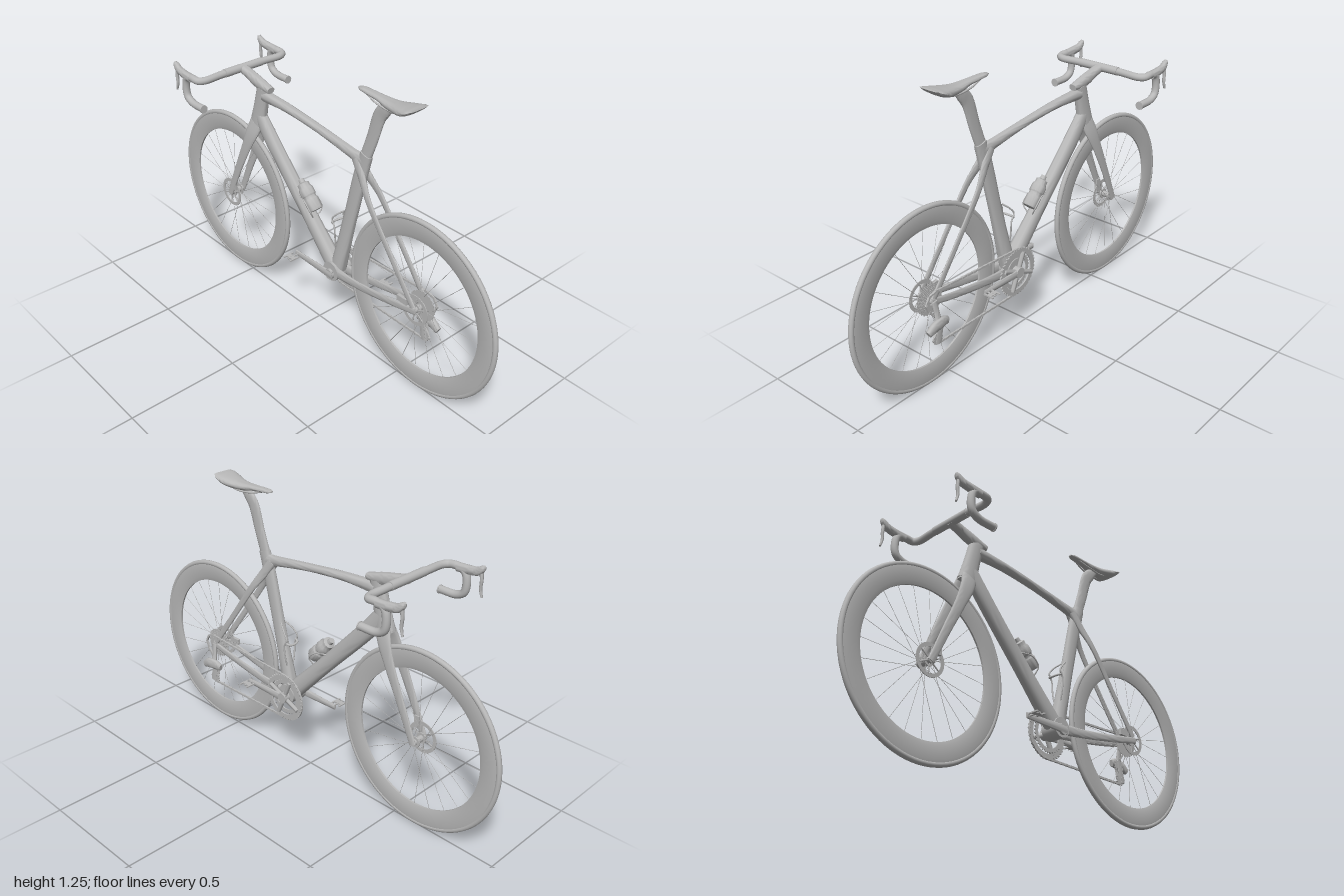
import * as THREE from 'three';
import { mergeGeometries, toCreasedNormals } from 'three/addons/utils/BufferGeometryUtils.js';

const grey = new THREE.MeshStandardMaterial({ color: 0xb8b8b8 });
grey.name = 'grey';
const V = (x, y, z) => new THREE.Vector3(x, y, z);
const AXLE_Y = 0.408, AXLE_Z = 0.604;
const BB = { y: 0.325, z: 0.115 };

function add(parent, name, geo) {
  const m = new THREE.Mesh(geo, grey);
  m.name = name;
  parent.add(m);
  return m;
}

// Oval sections along a path: stations are [x, y, z, halfWidth, halfDepth]
function loft(stations, sub = 5, n = 18, power = 0.8) {
  const path = new THREE.CatmullRomCurve3(stations.map(s => V(s[0], s[1], s[2])), false, 'centripetal');
  const size = new THREE.CatmullRomCurve3(stations.map(s => V(s[3], s[4], 0)), false, 'catmullrom', 0.4);
  const steps = (stations.length - 1) * sub, pos = [], idx = [];
  const soft = v => Math.sign(v) * Math.abs(v) ** power;
  for (let i = 0; i <= steps; i++) {
    const t = i / steps, c = path.getPoint(t), s = size.getPoint(t);
    const N = path.getTangent(t).cross(V(1, 0, 0)).normalize();
    for (let j = 0; j < n; j++) {
      const a = j / n * Math.PI * 2;
      const p = c.clone().addScaledVector(N, s.y * soft(Math.sin(a)));
      pos.push(p.x + s.x * soft(Math.cos(a)), p.y, p.z);
      if (i < steps) {
        const k = (j + 1) % n, A = i * n + j, B = i * n + k;
        idx.push(A, B, B + n, A, B + n, A + n);
      }
    }
  }
  for (let j = 1; j < n - 1; j++) {
    const e = steps * n;
    idx.push(0, j + 1, j, e, e + j, e + j + 1);
  }
  const g = new THREE.BufferGeometry();
  g.setAttribute('position', new THREE.Float32BufferAttribute(pos, 3));
  g.setIndex(idx);
  return toCreasedNormals(g, 0.8);
}

// Straight round bar between two points
function rod(a, b, r, sides = 8) {
  const d = b.clone().sub(a);
  const g = new THREE.CylinderGeometry(r, r, d.length(), sides);
  g.applyQuaternion(new THREE.Quaternion().setFromUnitVectors(V(0, 1, 0), d.normalize()));
  return g.translate((a.x + b.x) / 2, (a.y + b.y) / 2, (a.z + b.z) / 2);
}
const disc = (r, w, x, y, z, n = 32) => rod(V(x - w / 2, y, z), V(x + w / 2, y, z), r, n);
const tube = (pts, r, seg = 40, n = 12) =>
  new THREE.TubeGeometry(new THREE.CatmullRomCurve3(pts), seg, r, n, false);

// Flat ring with teeth or a plain edge, facing x
function ring(outer, inner, thick, teeth, depth, x, y, z) {
  const s = new THREE.Shape(), n = teeth ? teeth * 4 : 48;
  for (let i = 0; i < n; i++) {
    const r = outer - (teeth && i % 4 > 1 ? depth : 0), a = i / n * Math.PI * 2;
    s[i ? 'lineTo' : 'moveTo'](r * Math.cos(a), r * Math.sin(a));
  }
  s.closePath();
  s.holes.push(new THREE.Path().absarc(0, 0, inner, 0, Math.PI * 2, true));
  return new THREE.ExtrudeGeometry(s, { depth: thick, bevelEnabled: false, curveSegments: 32 })
    .translate(0, 0, -thick / 2).rotateY(Math.PI / 2).translate(x, y, z);
}
function arms(count, r0, r1, w, x, y, z) {
  const list = [];
  for (let i = 0; i < count; i++) {
    const a = i / count * Math.PI * 2 + 0.4, c = Math.cos(a), s = Math.sin(a);
    list.push(rod(V(x, y + r0 * s, z + r0 * c), V(x, y + r1 * s, z + r1 * c), w, 6));
  }
  return mergeGeometries(list);
}

function wheel(name, z) {
  const g = new THREE.Group();
  g.name = name;
  const rim = [[0.308, -0.004], [0.325, -0.009], [0.375, -0.011], [0.392, -0.008],
    [0.392, 0.008], [0.375, 0.011], [0.325, 0.009], [0.308, 0.004], [0.308, -0.004]];
  add(g, 'rim', toCreasedNormals(new THREE.LatheGeometry(rim.map(p => new THREE.Vector2(...p)), 80).rotateZ(Math.PI / 2), 0.6));
  add(g, 'tyre', new THREE.TorusGeometry(0.392, 0.0115, 12, 80).rotateY(Math.PI / 2));
  add(g, 'hub', mergeGeometries([disc(0.014, 0.074, 0, 0, 0, 20), disc(0.024, 0.005, 0.02, 0, 0, 20), disc(0.024, 0.005, -0.02, 0, 0, 20)]));
  const spokes = [];
  for (let i = 0; i < 24; i++) {
    const a = i / 24 * Math.PI * 2, b = a + (i % 4 < 2 ? 0.7 : -0.7);
    spokes.push(rod(V(i % 2 ? 0.019 : -0.019, 0.022 * Math.sin(b), 0.022 * Math.cos(b)),
      V(0, 0.312 * Math.sin(a), 0.312 * Math.cos(a)), 0.001, 4));
  }
  add(g, 'spokes', mergeGeometries(spokes));
  add(g, 'brakeRotor', ring(0.07, 0.054, 0.003, 0, 0, -0.028, 0, 0));
  add(g, 'rotorArms', arms(6, 0.015, 0.058, 0.003, -0.028, 0, 0));
  g.position.set(0, AXLE_Y, z);
  g.scale.z = 0.98; // wheels are very slightly taller than long
  return g;
}

function frame() {
  const g = new THREE.Group();
  g.name = 'frame';
  add(g, 'topTube', loft([[0, 0.925, 0.27, 0.016, 0.03], [0, 0.937, 0.2, 0.017, 0.022], [0, 0.967, 0, 0.018, 0.016],
    [0, 0.987, -0.2, 0.02, 0.018], [0, 0.99, -0.36, 0.021, 0.026]]));
  add(g, 'headTube', loft([[0, 1.025, -0.364, 0.02, 0.036], [0, 0.93, -0.388, 0.021, 0.038], [0, 0.83, -0.412, 0.024, 0.046]]));
  add(g, 'downTube', loft([[0, 0.885, -0.395, 0.022, 0.035], [0, 0.8, -0.325, 0.026, 0.037], [0, 0.55, -0.09, 0.028, 0.035],
    [0, 0.34, 0.11, 0.034, 0.04]]));
  add(g, 'seatTube', loft([[0, 0.965, 0.278, 0.016, 0.03], [0, 0.87, 0.25, 0.016, 0.034], [0, 0.6, 0.185, 0.019, 0.032],
    [0, 0.33, 0.12, 0.03, 0.036]]));
  add(g, 'bottomBracket', disc(0.045, 0.078, 0, BB.y + 0.01, BB.z));
  for (const s of [-1, 1]) {
    add(g, 'seatStay', loft([[s * 0.008, 0.93, 0.225, 0.01, 0.022], [s * 0.018, 0.86, 0.275, 0.009, 0.02],
      [s * 0.034, 0.785, 0.33, 0.006, 0.016], [s * 0.036, 0.6, 0.465, 0.005, 0.014], [s * 0.036, 0.42, 0.6, 0.005, 0.015]]));
    add(g, 'chainStay', loft([[s * 0.024, 0.335, 0.12, 0.012, 0.026], [s * 0.03, 0.345, 0.25, 0.007, 0.02],
      [s * 0.035, 0.375, 0.45, 0.005, 0.017], [s * 0.036, 0.408, 0.615, 0.005, 0.015]]));
    add(g, 'forkBlade', loft([[s * 0.01, 0.845, -0.408, 0.014, 0.04], [s * 0.026, 0.79, -0.43, 0.009, 0.035],
      [s * 0.034, 0.7, -0.47, 0.007, 0.026], [s * 0.036, 0.55, -0.54, 0.006, 0.02], [s * 0.036, 0.4, -0.606, 0.005, 0.016]]));
  }
  add(g, 'forkCrown', loft([[0, 0.85, -0.407, 0.023, 0.043], [0, 0.818, -0.42, 0.027, 0.038]]));
  add(g, 'rearCaliper', new THREE.BoxGeometry(0.014, 0.026, 0.055).translate(-0.032, 0.425, 0.54));
  add(g, 'frontCaliper', new THREE.BoxGeometry(0.014, 0.055, 0.024).translate(-0.032, 0.465, -0.57));
  return g;
}

function saddle() {
  const g = new THREE.Group();
  g.name = 'saddleAndPost';
  add(g, 'seatPost', loft([[0, 0.93, 0.265, 0.012, 0.027], [0, 1.05, 0.308, 0.009, 0.029], [0, 1.155, 0.342, 0.009, 0.031],
    [0, 1.19, 0.37, 0.011, 0.028], [0, 1.218, 0.4, 0.011, 0.018]]));
  add(g, 'saddleShell', loft([[0, 1.236, 0.228, 0.008, 0.003], [0, 1.235, 0.25, 0.017, 0.008], [0, 1.231, 0.33, 0.021, 0.011],
    [0, 1.224, 0.41, 0.034, 0.017], [0, 1.232, 0.48, 0.053, 0.018], [0, 1.246, 0.52, 0.056, 0.011], [0, 1.256, 0.54, 0.046, 0.003]]));
  for (const s of [-1, 1])
    add(g, 'saddleRail', tube([V(s * 0.008, 1.23, 0.27), V(s * 0.018, 1.212, 0.34), V(s * 0.02, 1.207, 0.43), V(s * 0.028, 1.23, 0.5)], 0.004));
  return g;
}

function cockpit() {
  const g = new THREE.Group();
  g.name = 'cockpit';
  add(g, 'stem', loft([[0, 1.028, -0.315, 0.018, 0.014], [0, 1.04, -0.4, 0.021, 0.026], [0, 1.058, -0.46, 0.021, 0.021], [0, 1.073, -0.515, 0.024, 0.018]]));
  add(g, 'barCentre', disc(0.0185, 0.2, 0, 1.073, -0.508, 20));
  for (const s of [-1, 1]) {
    const x = s * 0.233, end = V(x, 0.952, -0.49);
    add(g, 'handlebar', tube([V(0, 1.073, -0.508), V(s * 0.12, 1.072, -0.508), V(s * 0.205, 1.07, -0.508), V(s * 0.229, 1.071, -0.522),
      V(x, 1.073, -0.565), V(x, 1.06, -0.6), V(x, 1.02, -0.611), V(x, 0.975, -0.603), V(x, 0.955, -0.57), end], 0.0165, 80, 14));
    add(g, 'barPlug', rod(end, end.clone().add(V(0, 0, 0.005)), 0.0185, 16));
    add(g, 'brakeHood', loft([[x, 1.07, -0.565, 0.017, 0.018], [x, 1.073, -0.62, 0.016, 0.018], [s * 0.231, 1.08, -0.66, 0.015, 0.017],
      [s * 0.23, 1.098, -0.682, 0.012, 0.012], [s * 0.23, 1.108, -0.688, 0.006, 0.005]]));
    add(g, 'brakeLever', loft([[s * 0.23, 1.09, -0.675, 0.008, 0.008], [s * 0.23, 1.05, -0.68, 0.008, 0.006],
      [s * 0.231, 1.01, -0.678, 0.007, 0.005], [s * 0.232, 0.978, -0.686, 0.005, 0.004]]));
  }
  return g;
}

function drivetrain() {
  const g = new THREE.Group();
  g.name = 'drivetrain';
  const { y, z } = BB;
  add(g, 'chainring', ring(0.112, 0.085, 0.006, 40, 0.007, 0.05, y, z));
  add(g, 'innerChainring', ring(0.085, 0.064, 0.005, 32, 0.006, 0.041, y, z));
  add(g, 'spider', arms(4, 0, 0.092, 0.011, 0.052, y, z));
  add(g, 'crankAxle', disc(0.024, 0.12, 0.009, y, z, 24));
  for (const s of [-1, 1]) {
    const pz = z + s * 0.205, x = s > 0 ? 0.06 : -0.046;
    add(g, 'crankArm', loft([[x, y, z - s * 0.02, 0.007, 0.02], [x, y, z + s * 0.06, 0.007, 0.017], [x, y, pz + s * 0.015, 0.005, 0.013]]));
    add(g, 'pedalAxle', rod(V(x, y, pz), V(s * 0.108, y, pz), 0.004));
    for (const d of [-1, 1])
      add(g, 'pedalPlate', new THREE.BoxGeometry(0.05, 0.006, 0.007).translate(s * 0.088, y, pz + d * 0.021));
    add(g, 'pedalBody', new THREE.BoxGeometry(0.022, 0.006, 0.04).translate(s * 0.088, y, pz));
  }
  for (let i = 0; i < 7; i++)
    add(g, 'sprocket', ring(0.07 - i * 0.0055, 0.018, 0.0016, 24, 0.004, 0.014 + i * 0.0028, AXLE_Y, AXLE_Z));
  // chain of small links around the ring, sprockets and pulleys, as [z, y]
  const loop = [];
  for (let i = 0; i <= 12; i++) {
    const a = -Math.PI / 2 - i / 12 * Math.PI;
    loop.push([z + 0.107 * Math.cos(a), y + 0.107 * Math.sin(a)]);
  }
  loop.push([0.6, 0.456], [0.635, 0.446], [0.653, 0.415], [0.64, 0.38], [0.61, 0.345], [0.585, 0.315], [0.58, 0.29],
    [0.61, 0.26], [0.625, 0.24], [0.615, 0.222], [0.595, 0.215]);
  const links = [];
  loop.forEach((p, i) => {
    const q = loop[(i + 1) % loop.length], dz = q[0] - p[0], dy = q[1] - p[1], len = Math.hypot(dz, dy);
    const n = Math.max(1, Math.round(len / 0.016));
    for (let k = 0; k < n; k++)
      links.push(new THREE.BoxGeometry(k % 2 ? 0.006 : 0.009, 0.009, len / n * 1.05).rotateX(-Math.atan2(dy, dz))
        .translate(0.047, p[1] + dy * (k + 0.5) / n, p[0] + dz * (k + 0.5) / n));
  });
  add(g, 'chain', mergeGeometries(links));
  // rear derailleur
  add(g, 'derailleurHanger', loft([[0.042, 0.41, 0.605, 0.005, 0.014], [0.048, 0.36, 0.6, 0.007, 0.013], [0.055, 0.32, 0.6, 0.01, 0.016]]));
  add(g, 'derailleurBody', loft([[0.058, 0.29, 0.66, 0.012, 0.016], [0.06, 0.308, 0.625, 0.014, 0.024], [0.058, 0.312, 0.58, 0.013, 0.024], [0.055, 0.305, 0.55, 0.01, 0.016]]));
  for (const x of [0.038, 0.056])
    add(g, 'derailleurCage', loft([[x, 0.315, 0.585, 0.002, 0.016], [x, 0.22, 0.606, 0.002, 0.016]]));
  for (const p of [[0.3, 0.587], [0.236, 0.6]])
    add(g, 'pulley', ring(0.027, 0.008, 0.006, 12, 0.005, 0.047, ...p));
  return g;
}

function bottle() {
  const g = new THREE.Group();
  g.name = 'bottleAndCages';
  const profile = [[0, 0], [0.03, 0], [0.033, 0.006], [0.033, 0.05], [0.029, 0.056], [0.029, 0.066], [0.033, 0.072], [0.033, 0.1],
    [0.026, 0.112], [0.026, 0.128], [0.014, 0.133], [0.012, 0.15], [0, 0.15]];
  const b = add(g, 'bottle', toCreasedNormals(new THREE.LatheGeometry(profile.map(p => new THREE.Vector2(...p)), 28), 0.6));
  b.position.set(0, 0.568, -0.022);
  b.rotation.x = -0.755;
  for (const s of [-1, 1]) {
    add(g, 'downTubeCage', tube([V(s * 0.012, 0.53, -0.03), V(s * 0.034, 0.57, -0.024), V(s * 0.034, 0.605, -0.06), V(s * 0.014, 0.61, -0.12)], 0.003));
    add(g, 'seatTubeCage', tube([V(s * 0.012, 0.45, 0.13), V(s * 0.026, 0.5, 0.13), V(s * 0.032, 0.57, 0.13), V(s * 0.032, 0.6, 0.115),
      V(s * 0.028, 0.63, 0.135), V(s * 0.012, 0.66, 0.17)], 0.0035));
  }
  add(g, 'cageBase', loft([[0, 0.44, 0.118, 0.01, 0.006], [0, 0.65, 0.168, 0.01, 0.006]]));
  add(g, 'cageHoop', tube([V(-0.032, 0.585, 0.125), V(-0.024, 0.578, 0.108), V(0, 0.575, 0.102), V(0.024, 0.578, 0.108), V(0.032, 0.585, 0.125)], 0.005));
  return g;
}

export function createModel() {
  const bike = new THREE.Group();
  bike.name = 'roadBicycle';
  bike.add(wheel('rearWheel', AXLE_Z), wheel('frontWheel', -AXLE_Z), frame(), saddle(), cockpit(), drivetrain(), bottle());
  return bike;
}
